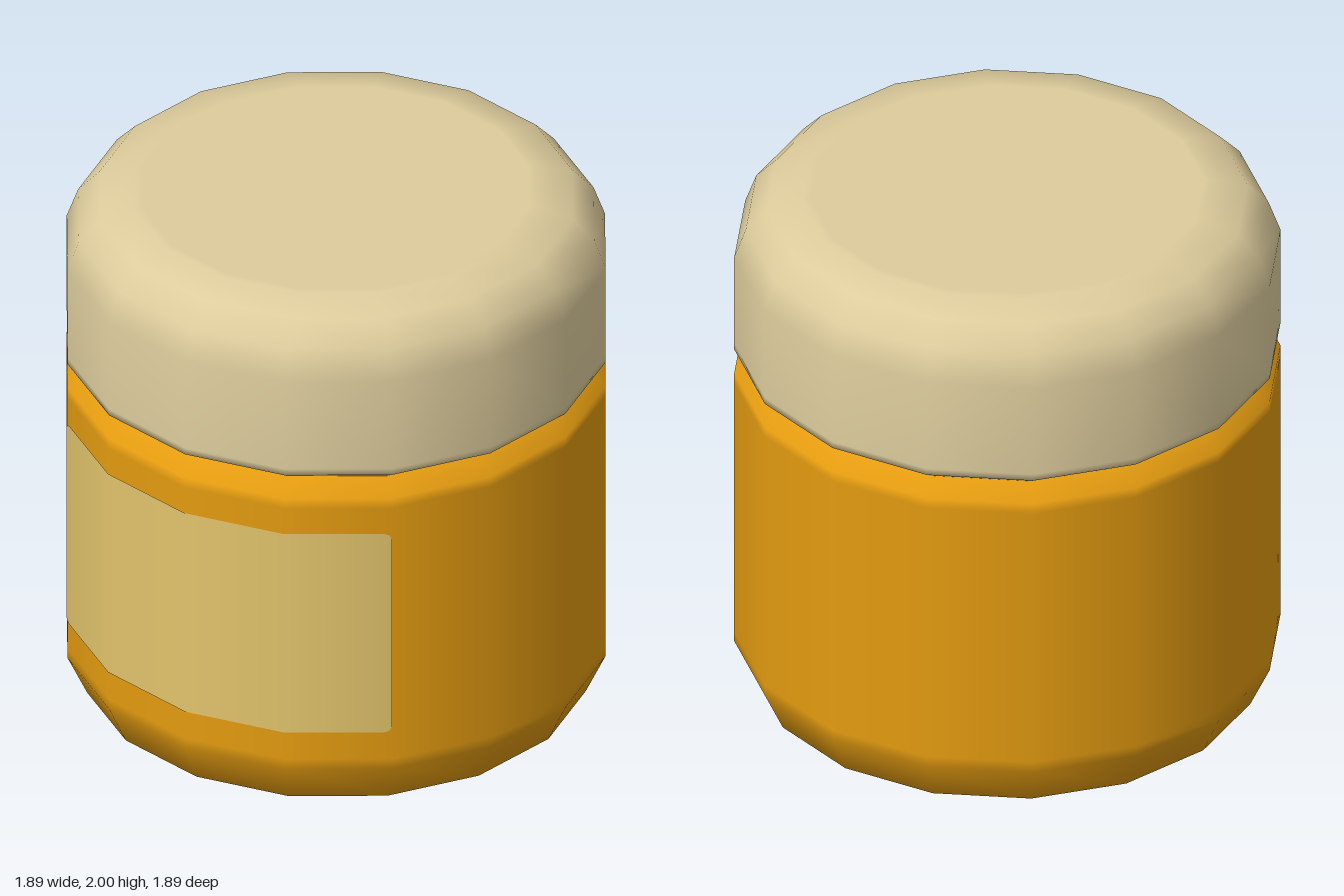
import * as THREE from 'three';

const SIDES = 16;
const RADIUS = 0.945;

function material(name, color) {
  const m = new THREE.MeshStandardMaterial({ color });
  m.name = name;
  return m;
}

// Smooth faceted solid turned around the y axis, profile listed bottom to top
function turned(name, profile, mat) {
  const points = profile.map(([r, y]) => new THREE.Vector2(r, y));
  const mesh = new THREE.Mesh(new THREE.LatheGeometry(points, SIDES), mat);
  mesh.name = name;
  return mesh;
}

// Thin sheet that follows the front facets of the jar, with softened corners
function wrappedLabel(bottom, top, mat) {
  // [position in facets from the middle, corner inset]
  const half = [[1, 0], [1.93, 0], [1.98, 0.007], [2, 0.022]];
  const columns = [...half.map(([s, i]) => [-s, i]).reverse(), [0, 0], ...half];
  const geometry = new THREE.PlaneGeometry(2, 1, columns.length - 1, 1);
  const position = geometry.attributes.position;
  const normal = geometry.attributes.normal;
  const step = (Math.PI * 2) / SIDES;
  const r = RADIUS + 0.004;
  for (let i = 0; i < position.count; i++) {
    const [s, inset] = columns[i % columns.length];
    const facet = Math.min(Math.floor(s), 1);
    const t = s - facet;
    const a = facet * step, b = a + step;
    const x = r * THREE.MathUtils.lerp(Math.sin(a), Math.sin(b), t);
    const z = r * THREE.MathUtils.lerp(Math.cos(a), Math.cos(b), t);
    const y = i < columns.length ? top - inset : bottom + inset;
    position.setXYZ(i, x, y, z);
    const n = new THREE.Vector3(x, 0, z).normalize();
    normal.setXYZ(i, n.x, n.y, n.z);
  }
  const mesh = new THREE.Mesh(geometry, mat);
  mesh.name = 'label';
  return mesh;
}

export function createModel() {
  const amber = material('amber', 0xe39b10);
  const cream = material('cream', 0xddcc9c);
  const paper = material('paleYellow', 0xe2c46c);

  const group = new THREE.Group();
  group.name = 'jar';

  // Jar body with rounded base and tapered shoulder
  group.add(turned('body', [
    [0, 0], [0.69, 0], [0.72, 0], [0.875, 0.07], [RADIUS, 0.22],
    [RADIUS, 0.26], [RADIUS, 1.27], [RADIUS, 1.31], [0.875, 1.36],
  ], amber));

  // Lid with a wide rounded top edge
  group.add(turned('lid', [
    [0.875, 1.36], [RADIUS, 1.405], [RADIUS, 1.43], [RADIUS, 1.78],
    [0.905, 1.89], [0.83, 1.97], [0.71, 2], [0.68, 2], [0, 2],
  ], cream));

  group.add(wrappedLabel(0.37, 1.17, paper));
  return group;
}
